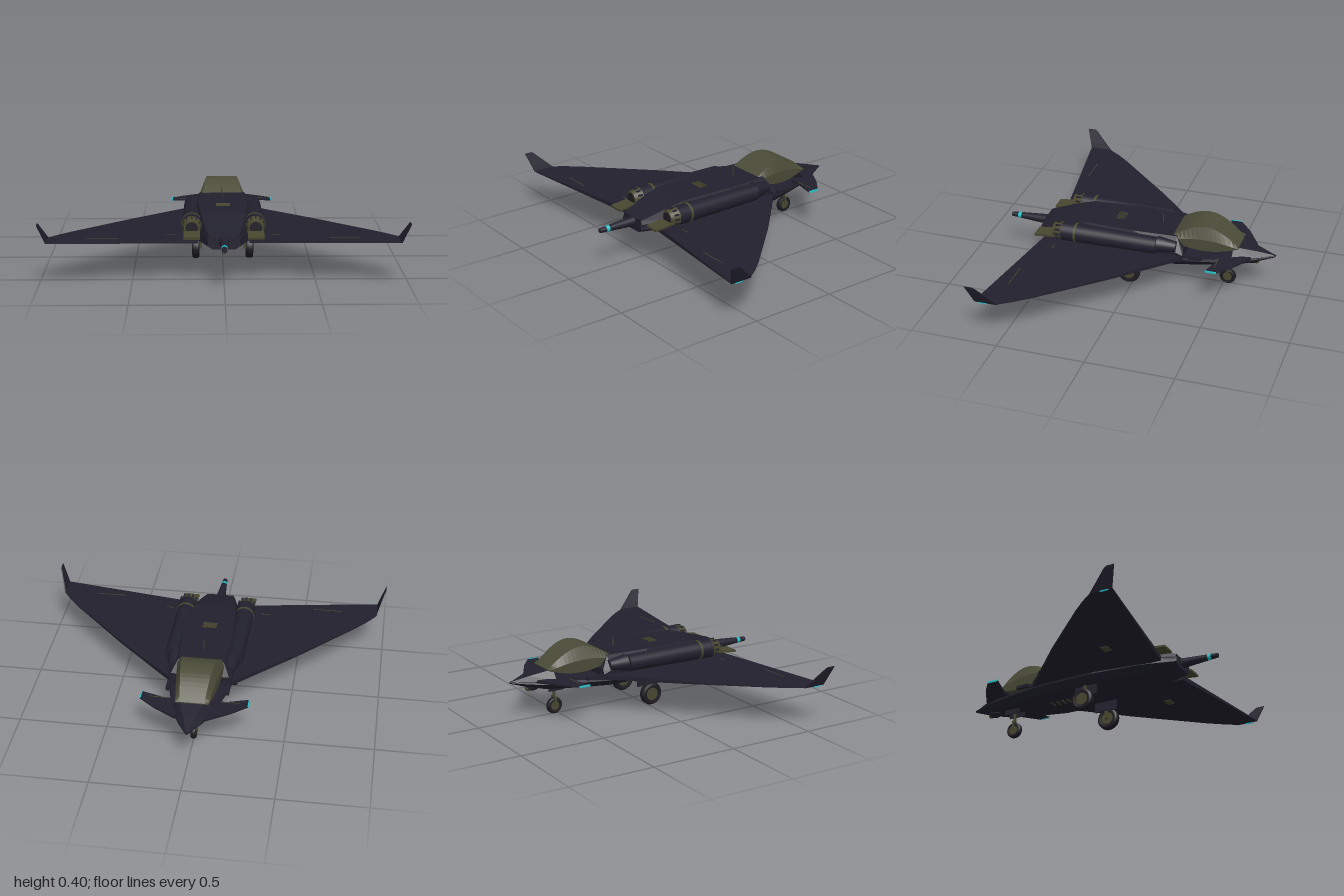
import * as THREE from 'three';

const mat = (name, color, side = THREE.FrontSide) => {
  const m = new THREE.MeshStandardMaterial({ color, side });
  m.name = name;
  return m;
};

// Closed faceted solid from rings of [x, y, z], counterclockwise about the loft direction
function loft(rings) {
  const p = [];
  const tri = (a, b, c) => p.push(...a, ...b, ...c);
  const n = rings[0].length;
  for (let k = 0; k < rings.length - 1; k++) {
    const a = rings[k], b = rings[k + 1];
    for (let i = 0; i < n; i++) {
      const j = (i + 1) % n;
      tri(a[i], a[j], b[j]);
      tri(a[i], b[j], b[i]);
    }
  }
  const s = rings[0], e = rings[rings.length - 1];
  for (let i = 1; i < n - 1; i++) {
    tri(s[0], s[i + 1], s[i]);
    tri(e[0], e[i], e[i + 1]);
  }
  const g = new THREE.BufferGeometry();
  g.setAttribute('position', new THREE.Float32BufferAttribute(p, 3));
  g.computeVertexNormals();
  return g;
}

// Six-sided hull section: widths at the bottom, the widest line and the top
const hex = ([z, wb, yb, wm, ym, wt, yt]) =>
  [[wb, yb, z], [wm, ym, z], [wt, yt, z], [-wt, yt, z], [-wm, ym, z], [-wb, yb, z]];

const flip = (rings, s) => s > 0 ? rings : rings.map(r => r.map(([x, y, z]) => [-x, y, z]).reverse());

// Horizontal surface from an outline of [x, z, y, half thickness]
const slab = (outline, s) => loft(flip([
  outline.map(([x, z, y, t]) => [x, y - t, z]),
  outline.map(([x, z, y, t]) => [x, y + t, z])], s));

export function createModel() {
  const root = new THREE.Group();
  root.name = 'jet';
  const skin = mat('dark navy skin', 0x21202d);
  const khaki = mat('khaki', 0x48472f);
  const glass = mat('canopy olive', 0x4b4b38);
  const cyan = mat('cyan light', 0x22c4cc);
  const rubber = mat('tyre black', 0x1b1b22);

  const add = (name, geo, m, x = 0, y = 0, z = 0, parent = root) => {
    const mesh = new THREE.Mesh(geo, m);
    mesh.name = name;
    mesh.position.set(x, y, z);
    parent.add(mesh);
    return mesh;
  };
  const box = (name, m, w, h, d, x, y, z) => add(name, new THREE.BoxGeometry(w, h, d), m, x, y, z);
  // Cylinder along z, r0 at the nose end and r1 at the tail end
  const tubeZ = (name, m, r0, r1, z0, z1, x, y, open = false) =>
    add(name, new THREE.CylinderGeometry(r1, r0, z1 - z0, 24, 1, open).rotateX(Math.PI / 2), m, x, y, (z0 + z1) / 2);

  // Fuselage: lower hull, nose deck and engine deck
  add('lowerHull', loft([
    [-0.8, 0.004, 0.224, 0.006, 0.229, 0.004, 0.233],
    [-0.7, 0.035, 0.195, 0.06, 0.218, 0.055, 0.23],
    [-0.6, 0.07, 0.178, 0.105, 0.21, 0.1, 0.225],
    [-0.4, 0.12, 0.168, 0.155, 0.205, 0.15, 0.22],
    [-0.25, 0.15, 0.164, 0.185, 0.2, 0.185, 0.225],
    [0.1, 0.165, 0.167, 0.19, 0.2, 0.185, 0.24],
    [0.4, 0.1, 0.178, 0.15, 0.205, 0.14, 0.24],
    [0.58, 0.06, 0.19, 0.09, 0.21, 0.085, 0.24]].map(hex)), skin);
  add('noseDeck', loft([
    [-0.79, 0.007, 0.228, 0.008, 0.23, 0.004, 0.234],
    [-0.7, 0.055, 0.222, 0.06, 0.23, 0.03, 0.258],
    [-0.57, 0.11, 0.22, 0.118, 0.235, 0.075, 0.29]].map(hex)), skin);
  add('engineDeck', loft([
    [-0.3, 0.175, 0.22, 0.178, 0.24, 0.165, 0.265],
    [-0.255, 0.18, 0.22, 0.182, 0.26, 0.13, 0.334],
    [0, 0.18, 0.22, 0.18, 0.26, 0.145, 0.336],
    [0.32, 0.15, 0.22, 0.15, 0.26, 0.125, 0.332],
    [0.43, 0.125, 0.22, 0.13, 0.25, 0.11, 0.305],
    [0.575, 0.088, 0.22, 0.09, 0.24, 0.08, 0.262]].map(hex)), skin);

  // Canopy dome, widening to the rear
  const domeRings = [];
  for (let i = 0; i <= 16; i++) {
    const t = i / 16, z = -0.6 + 0.37 * t;
    const base = 0.285 - 0.03 * Math.sin(Math.PI * Math.min(1, t * 1.1));
    const top = 0.29 + 0.045 * t + 0.085 * Math.sin(Math.PI * t);
    const w = 0.08 + 0.045 * t;
    domeRings.push(hex([z, w + 0.01, base, w + 0.012, base + (top - base) * 0.5, w - 0.012, top]));
  }
  add('canopy', loft(domeRings), glass);

  // Tail boom with its light
  tubeZ('tailBoom', skin, 0.03, 0.013, 0.56, 0.795, 0, 0.235);
  tubeZ('tailLight', cyan, 0.0185, 0.017, 0.735, 0.755, 0, 0.235);

  // Antenna, deck vent and chin sensor
  add('antenna', new THREE.CylinderGeometry(0.003, 0.003, 0.055, 8), khaki, 0, 0.358, -0.135);
  for (let i = 0; i < 4; i++) box('ventSlat', khaki, 0.08, 0.006, 0.005, 0, 0.337, 0.09 + i * 0.014);
  add('chinSensor', new THREE.SphereGeometry(0.035, 16, 10).scale(0.9, 0.7, 1.2), skin, 0, 0.187, -0.66);
  add('sensorWindow', new THREE.SphereGeometry(0.016, 12, 8), khaki, 0, 0.179, -0.69);
  for (let i = 0; i < 5; i++) box('bellyPanel', khaki, 0.05, 0.005, 0.012, 0, 0.165, -0.26 + i * 0.035);

  for (const s of [1, -1]) {
    // Delta wing with upturned tip
    add('wing', slab([
      [0.14, -0.33, 0.222, 0.014], [0.14, 0.51, 0.222, 0.014],
      [0.95, 0.63, 0.24, 0.003], [0.957, 0.51, 0.24, 0.003],
      [0.9, 0.43, 0.239, 0.003], [0.83, 0.35, 0.237, 0.004],
      [0.51, 0.02, 0.23, 0.008]], s), skin);
    const tipRing = (x, y, z0, z1, w) => [[x - w, y, z0], [x - w, y, z1], [x + w, y, z1], [x + w, y, z0]];
    add('winglet', loft(flip([
      tipRing(0.954, 0.237, 0.5, 0.63, 0.004),
      tipRing(0.967, 0.27, 0.535, 0.64, 0.004),
      tipRing(0.995, 0.338, 0.605, 0.662, 0.003),
      tipRing(0.998, 0.348, 0.62, 0.666, 0.002)], s)), skin);
    box('wingtipLight', cyan, 0.006, 0.006, 0.05, s * 0.956, 0.235, 0.585);
    box('aileronLine', khaki, 0.17, 0.002, 0.004, s * 0.66, 0.2415, 0.52);
    box('flapLine', khaki, 0.05, 0.002, 0.004, s * 0.29, 0.2385, 0.43);
    box('wingUnderPanel', khaki, 0.06, 0.004, 0.04, s * 0.4, 0.215, 0.3);

    // Canard
    add('canard', slab([
      [0.08, -0.675, 0.235, 0.008], [0.1, -0.5, 0.235, 0.008], [0.16, -0.505, 0.236, 0.006],
      [0.298, -0.463, 0.24, 0.003], [0.298, -0.53, 0.24, 0.003], [0.21, -0.6, 0.238, 0.004]], s), skin);
    box('canardLight', cyan, 0.006, 0.01, 0.066, s * 0.299, 0.24, -0.497);
    box('canardLine', khaki, 0.1, 0.003, 0.004, s * 0.2, 0.2435, -0.505);
    box('sideStrake', skin, 0.02, 0.018, 0.08, s * 0.168, 0.232, -0.37);

    // Engine nacelle, intake, nozzle and thrust paddle
    const x = s * 0.175, y = 0.282;
    tubeZ('nacelle', skin, 0.048, 0.055, -0.15, 0.41, x, y);
    tubeZ('intakeFairing', skin, 0.03, 0.048, -0.26, -0.15, s * 0.158, y);
    tubeZ('nacelleBand', khaki, 0.057, 0.057, 0.322, 0.336, x, y);
    tubeZ('nozzleRing', khaki, 0.056, 0.05, 0.41, 0.435, x, y);
    tubeZ('nozzle', khaki, 0.05, 0.042, 0.435, 0.465, x, y);
    tubeZ('exhaust', rubber, 0.034, 0.034, 0.46, 0.467, x, y);
    for (let i = 0; i < 12; i++) {
      const a = i / 12 * Math.PI * 2;
      box('nozzleRivet', skin, 0.008, 0.008, 0.03, x + Math.cos(a) * 0.052, y + Math.sin(a) * 0.052, 0.43);
    }
    const paddle = box('thrustPaddle', khaki, 0.09, 0.012, 0.13, s * 0.175, 0.256, 0.508);
    paddle.rotation.x = 0.1;
  }

  // Landing gear: wheel turning about x, with hub discs
  const wheel = (name, r, w, x, y, z) => {
    const g = new THREE.Group();
    g.name = name;
    g.position.set(x, y, z);
    root.add(g);
    const h = w / 2;
    const profile = [[0, -h * 0.8], [r * 0.62, -h * 0.8], [r * 0.7, -h], [r * 0.9, -h], [r, -h * 0.5],
      [r, h * 0.5], [r * 0.9, h], [r * 0.7, h], [r * 0.62, h * 0.8], [0, h * 0.8]];
    add('tyre', new THREE.LatheGeometry(profile.map(q => new THREE.Vector2(...q)), 28).rotateZ(Math.PI / 2), rubber, 0, 0, 0, g);
    add('hub', new THREE.CylinderGeometry(r * 0.56, r * 0.56, w * 0.9, 20).rotateZ(Math.PI / 2), khaki, 0, 0, 0, g);
  };
  for (const s of [1, -1]) {
    wheel('mainWheel', 0.065, 0.042, s * 0.155, 0.068, 0.022);
    box('mainStrut', khaki, 0.014, 0.11, 0.02, s * 0.128, 0.115, 0.022);
    box('mainGearDoor', skin, 0.008, 0.06, 0.14, s * 0.122, 0.138, 0.022);
    box('noseGearDoor', skin, 0.006, 0.035, 0.1, s * 0.03, 0.163, -0.525);
  }
  wheel('noseWheel', 0.047, 0.028, 0, 0.05, -0.525);
  box('noseStrut', khaki, 0.012, 0.09, 0.014, 0, 0.145, -0.525);
  box('noseForkTop', khaki, 0.044, 0.008, 0.014, 0, 0.101, -0.525);
  for (const s of [1, -1]) box('noseFork', khaki, 0.006, 0.055, 0.012, s * 0.019, 0.075, -0.525);

  return root;
}
